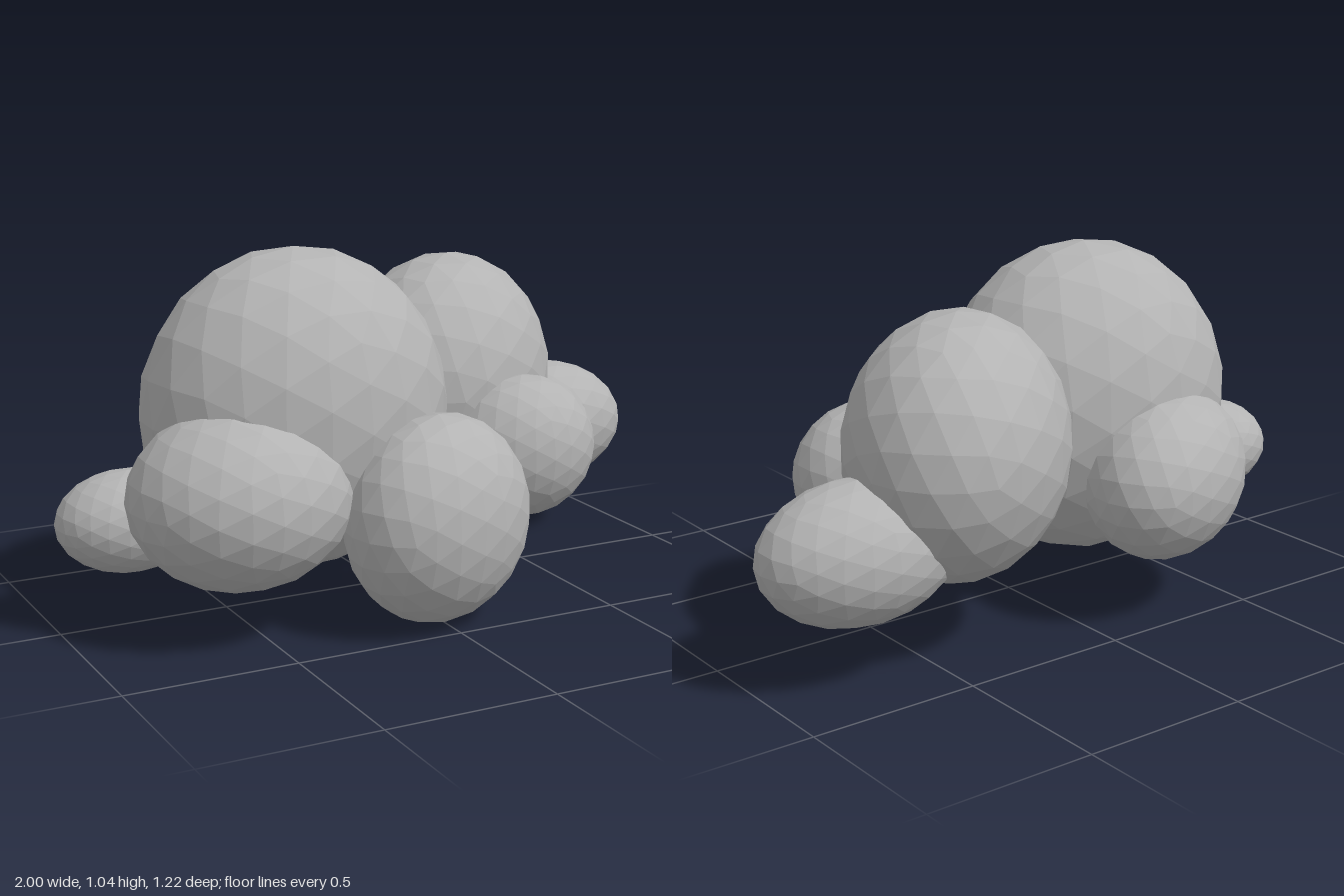
import * as THREE from 'three';

export function createModel() {
  const group = new THREE.Group();
  group.name = 'cloud';
  const grey = new THREE.MeshStandardMaterial({ color: 0xb3b3b3, flatShading: true });
  grey.name = 'cloud grey';

  // One faceted puff: centre, radii along its own axes, turn about y in degrees
  const puff = (name, centre, radii, turn = 0) => {
    const mesh = new THREE.Mesh(new THREE.IcosahedronGeometry(1, 3), grey);
    mesh.name = name;
    mesh.position.set(...centre);
    mesh.scale.set(...radii);
    mesh.rotation.y = THREE.MathUtils.degToRad(turn);
    group.add(mesh);
  };

  // Two large puffs form the body
  puff('mainPuff', [-0.27, 0.57, -0.01], [0.465, 0.47, 0.40], 8);
  puff('leftMainPuff', [0.33, 0.57, -0.2], [0.42, 0.38, 0.32], 45);

  // Smaller puffs around the base
  puff('frontPuff', [0, 0.3, 0.36], [0.312, 0.3, 0.236], 25);
  puff('frontRightPuff', [-0.54, 0.39, 0.21], [0.32, 0.257, 0.30]);
  puff('frontLeftPuff', [0.4, 0.412, 0.145], [0.23, 0.215, 0.2]);
  puff('backPuff', [-0.31, 0.4, -0.35], [0.335, 0.245, 0.228], 31);
  puff('farRightPuff', [-0.79, 0.305, 0.0], [0.21, 0.145, 0.175]);
  puff('farLeftPuff', [0.7, 0.36, -0.26], [0.3, 0.2, 0.21]);

  return group;
}
